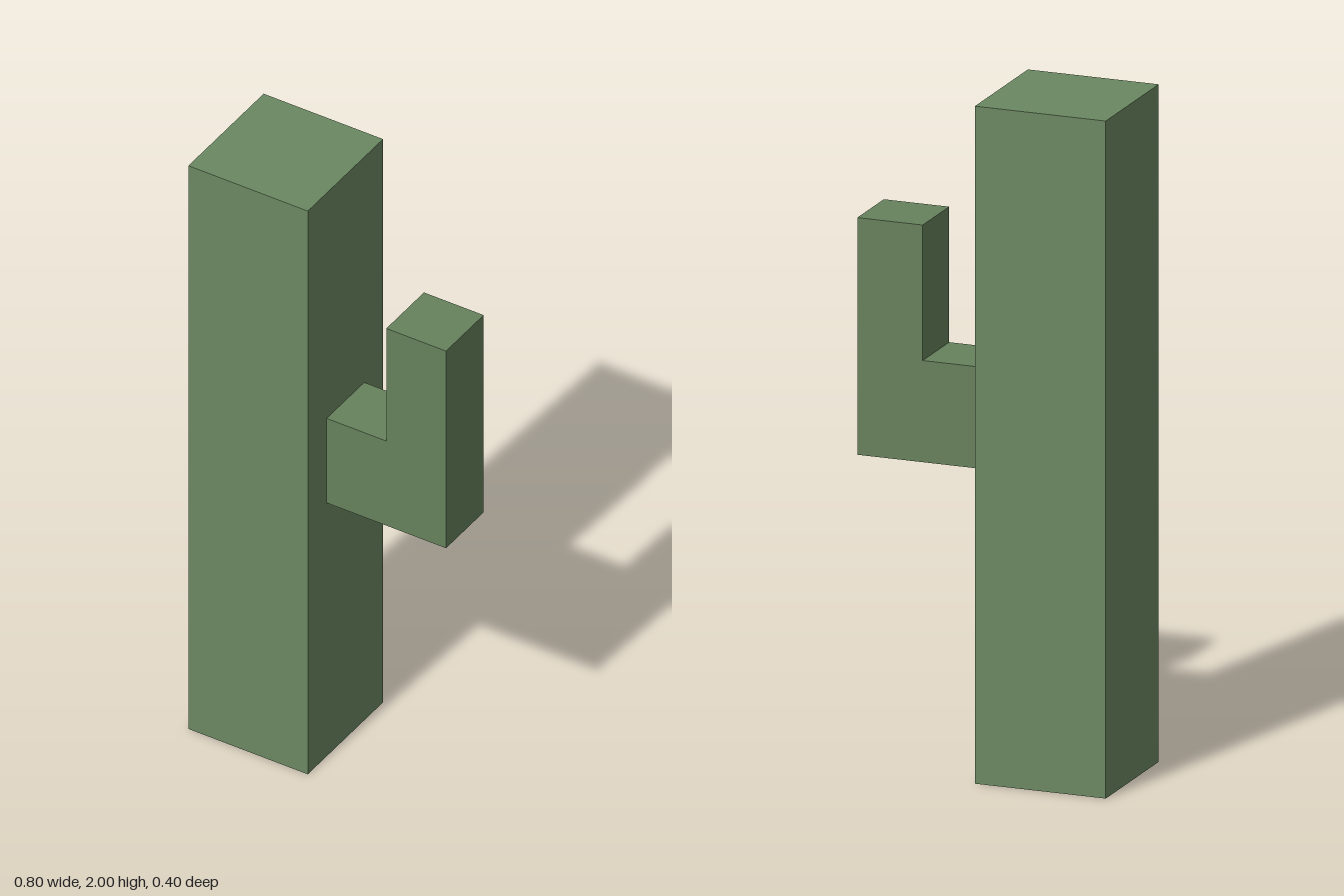
import * as THREE from 'three';

export function createModel() {
  const cactus = new THREE.Group();
  cactus.name = 'cactus';
  const trunkMaterial = new THREE.MeshStandardMaterial({ color: 0x6b8861, flatShading: true });
  const armMaterial = new THREE.MeshStandardMaterial({ color: 0x66815c, flatShading: true });

  // Square trunk standing on the ground
  const trunk = new THREE.Mesh(new THREE.BoxGeometry(0.4, 2, 0.4), trunkMaterial);
  trunk.name = 'trunk';
  trunk.position.set(-0.2, 1, 0);
  cactus.add(trunk);

  // L-shaped arm: reaches out from the trunk, then turns upward
  const outline = [[0, 0.9], [0.4, 0.9], [0.4, 1.6], [0.2, 1.6], [0.2, 1.2], [0, 1.2]];
  const shape = new THREE.Shape(outline.map(([x, y]) => new THREE.Vector2(x, y)));
  const armGeometry = new THREE.ExtrudeGeometry(shape, { depth: 0.2, bevelEnabled: false });
  armGeometry.translate(0, 0, -0.1);
  const arm = new THREE.Mesh(armGeometry, armMaterial);
  arm.name = 'arm';
  cactus.add(arm);

  return cactus;
}
